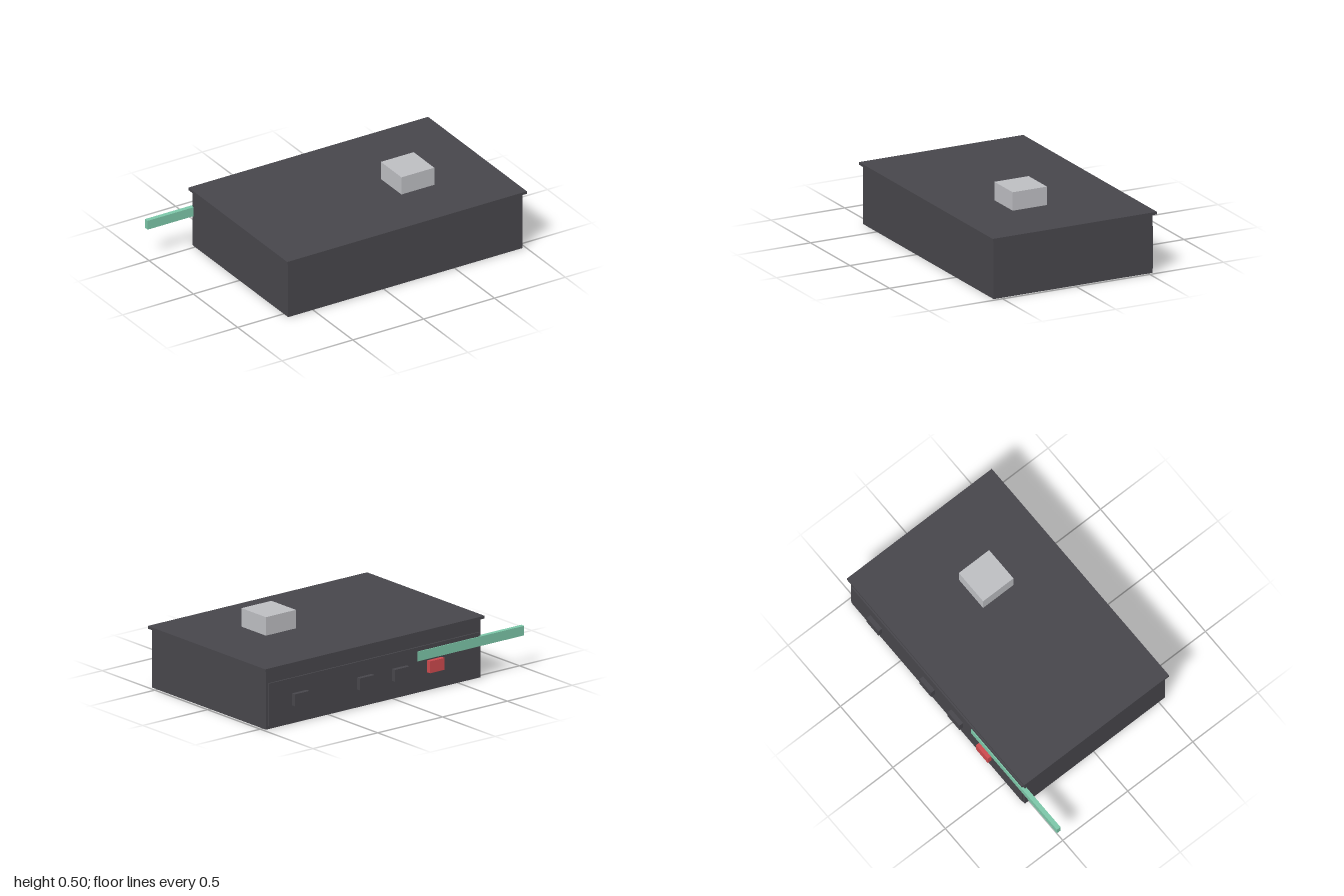
import * as THREE from 'three';

export function createModel() {
  const model = new THREE.Group();
  model.name = 'controlBox';

  const material = (name, color) => {
    const m = new THREE.MeshStandardMaterial({ color });
    m.name = name;
    return m;
  };
  const charcoal = material('charcoal', 0x47464b);
  const lightGrey = material('lightGrey', 0xbcbdc1);
  const green = material('mintGreen', 0x7cc6a8);
  const red = material('red', 0xcc4a4e);

  // Box given by its extents on each axis
  const box = (name, mat, [x0, x1], [y0, y1], [z0, z1], parent = model) => {
    const mesh = new THREE.Mesh(new THREE.BoxGeometry(x1 - x0, y1 - y0, z1 - z0), mat);
    mesh.position.set((x0 + x1) / 2, (y0 + y1) / 2, (z0 + z1) / 2);
    mesh.name = name;
    parent.add(mesh);
  };

  // Case with overhanging lid and the block standing on it
  box('body', charcoal, [-0.675, 0.98], [0, 0.37], [-0.53, 0.55]);
  box('lid', charcoal, [-0.692, 1], [0.37, 0.387], [-0.548, 0.567]);
  box('topBlock', lightGrey, [0.342, 0.574], [0.387, 0.503], [-0.03, 0.203]);

  // Rear panel with its row of buttons
  box('rearPanel', charcoal, [-0.66, 0.965], [0.02, 0.288], [-0.539, -0.53]);
  const buttons = new THREE.Group();
  buttons.name = 'rearButtons';
  model.add(buttons);
  [[-0.312, red], [-0.042, charcoal], [0.228, charcoal], [0.73, charcoal]].forEach(([x, mat], i) =>
    box(`button${i + 1}`, mat, [x - 0.056, x + 0.056], [0.117, 0.192], [-0.567, -0.539], buttons));

  // Bar projecting past the right side
  box('sideBar', green, [-1, -0.18], [0.202, 0.262], [-0.545, -0.517]);

  return model;
}
